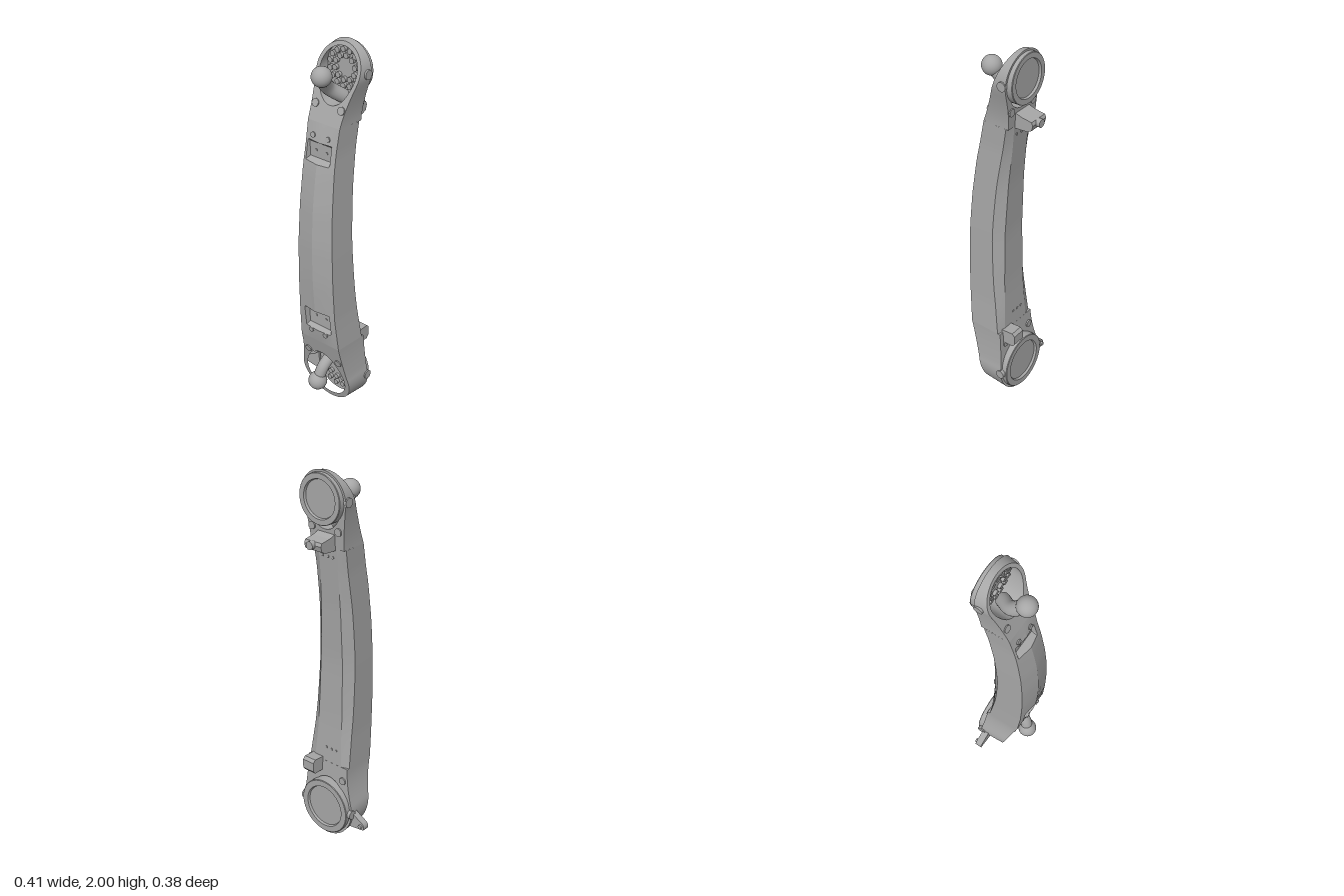
import * as THREE from 'three';
import { toCreasedNormals } from 'three/addons/utils/BufferGeometryUtils.js';

const CX = 0.035; // centre line of the arm

// Linear lookup in a short table of [y, value]
function lookup(table, y) {
  for (let i = 1; i < table.length; i++) {
    const [y0, v0] = table[i - 1], [y1, v1] = table[i];
    if (y <= y1) return v0 + (v1 - v0) * (y - y0) / (y1 - y0);
  }
  return table[table.length - 1][1];
}
const LEFT = [[0.42, -0.086], [0.6, -0.081], [1, -0.08], [1.5, -0.075], [1.62, -0.08]];
const RIGHT = [[0.42, 0.181], [0.6, 0.167], [1, 0.152], [1.5, 0.127], [1.62, 0.129]];
const FRONT = [[0.42, 0.14], [0.6, 0.154], [0.8, 0.16], [1, 0.158], [1.2, 0.146], [1.4, 0.122], [1.62, 0.08]];
const BACK = [[0.42, -0.05], [0.7, -0.035], [1, -0.03], [1.3, -0.042], [1.62, -0.07]];
const NOTCHES = [{ y0: 0.5, y1: 0.62, z: 0.128 }, { y0: 1.43, y1: 1.53, z: 0.092 }];

// Height of the faceted front face of the shaft
function frontZ(x, y) {
  const k = Math.sqrt(Math.max(0, Math.sin(Math.PI * (y - 0.42) / 1.2)));
  const half = (lookup(RIGHT, y) - lookup(LEFT, y)) / 2;
  const mid = (lookup(RIGHT, y) + lookup(LEFT, y)) / 2;
  return lookup(FRONT, y) + 0.026 * k * Math.max(0, 1 - Math.abs(x - mid) / half);
}

// Shaft lofted from closed rings, with two stepped notches in the front
function shaftGeometry() {
  const ys = [];
  for (let i = 0; i <= 24; i++) ys.push(0.42 + 0.05 * i);
  for (const n of NOTCHES) ys.push(n.y0 - 0.001, n.y0 + 0.012, n.y1 - 0.012, n.y1 + 0.001);
  ys.sort((a, b) => a - b);
  const pos = [], index = [];
  let cols = 0;
  for (const y of ys) {
    const xl = lookup(LEFT, y), xr = lookup(RIGHT, y), zb = lookup(BACK, y);
    const k = Math.max(0, Math.sin(Math.PI * (y - 0.42) / 1.2));
    const t = (y - 0.56) / 0.92;
    const nl = -0.035 - 0.02 * t, nr = 0.13 - 0.035 * t;
    const notch = NOTCHES.find((n) => y > n.y0 + 0.005 && y < n.y1 - 0.005);
    const xs = [CX + (xl - CX) * 0.94, nl, nl + 0.005, (xl + xr) / 2, nr - 0.005, nr, CX + (xr - CX) * 0.94];
    const ring = xs.map((x, i) => [x, notch && i > 1 && i < 5 ? notch.z : frontZ(x, y)]);
    ring.push([xr, zb + 0.015 + 0.03 * k], [xr - 0.045, zb], [xl + 0.045, zb], [xl, zb + 0.015 + 0.03 * k]);
    cols = ring.length;
    for (const [x, z] of ring) pos.push(x, y, z);
  }
  for (let i = 0; i < ys.length - 1; i++) {
    for (let j = 0; j < cols; j++) {
      const a = i * cols + j, b = i * cols + (j + 1) % cols;
      index.push(a, b, b + cols, a, b + cols, a + cols);
    }
  }
  const g = new THREE.BufferGeometry();
  g.setAttribute('position', new THREE.Float32BufferAttribute(pos, 3));
  g.setIndex(index);
  return toCreasedNormals(g, 0.2);
}

const ENDS = [
  { name: 'lower', dir: -1, cy: 0.17, r: 0.165, join: 0.42, hole: 0.134, tip: 0.165, disc: 0.152,
    front: (y) => 0.035 + 0.25 * y, back: (y) => -0.08 + 0.07 * y, discBack: -0.096, floor: -0.03,
    stalk: [[0.05, 0.3, 0.04], [0.045, 0.25, 0.11], [0.03, 0.165, 0.14]], stalkR: 0.031 },
  { name: 'upper', dir: 1, cy: 1.862, r: 0.138, join: 1.62, hole: 0.117, tip: 0.155, disc: 0.127,
    front: (y) => 0.05 - 0.375 * (y - 1.7), back: (y) => -0.07 - 0.065 * (y - 1.62), discBack: -0.116, floor: -0.072,
    stalk: [[0.045, 1.73, -0.04], [0.012, 1.785, 0.03], [0.03, 1.865, 0.1]], stalkR: 0.035 },
];

// Rounded end housing with an egg-shaped pocket, sloped at the front
function endGeometry(e) {
  const pts = [], hole = [];
  const xl = lookup(LEFT, e.join), xr = lookup(RIGHT, e.join);
  const at = (a, r) => new THREE.Vector2(CX + r * Math.cos(a), e.cy + e.dir * r * Math.sin(a));
  const a0 = -0.26, a1 = Math.PI + 0.26;
  const neck = (x, a, rev) => {
    const c = new THREE.QuadraticBezierCurve(new THREE.Vector2(x, e.join),
      new THREE.Vector2(x, e.cy - e.dir * 0.16), at(a, e.r)).getPoints(8);
    return rev ? c.reverse() : c;
  };
  pts.push(...neck(xr, a0, false));
  for (let i = 1; i < 40; i++) pts.push(at(a0 + (a1 - a0) * i / 40, e.r));
  pts.push(...neck(xl, a1, true));
  for (let i = 0; i < 48; i++) {
    const a = i / 48 * Math.PI * 2;
    hole.push(at(a, e.hole + (e.tip - e.hole) * Math.max(0, -Math.sin(a)) ** 4));
  }
  const shape = new THREE.Shape(pts);
  shape.holes.push(new THREE.Path(hole));
  const g = new THREE.ExtrudeGeometry(shape, { depth: 1, bevelEnabled: false });
  const p = g.attributes.position;
  for (let i = 0; i < p.count; i++) {
    let x = p.getX(i), y = p.getY(i);
    const isFront = p.getZ(i) > 0.5;
    if (isFront) {
      x = CX + (x - CX) * 0.94;
      if (e.dir * (y - e.cy) > 0) y = e.cy + (y - e.cy) * 0.95;
    }
    p.setXYZ(i, x, y, isFront ? e.front(y) : e.back(y));
  }
  return toCreasedNormals(g, 0.5);
}

export function createModel() {
  const group = new THREE.Group();
  const grey = new THREE.MeshStandardMaterial({ color: 0xa6a6a6 });
  grey.name = 'grey';
  const add = (name, geo, x = 0, y = 0, z = 0) => {
    const m = new THREE.Mesh(geo, grey);
    m.name = name;
    m.position.set(x, y, z);
    group.add(m);
    return m;
  };
  // Short round stud facing along z
  const stud = (name, x, y, z, r, h = 0.012, tilt = 0) => {
    const m = add(name, new THREE.CylinderGeometry(r, r, h, 18), x, y, z);
    m.rotation.x = Math.PI / 2 + tilt;
    return m;
  };
  // Side profile in (z, y), extruded along x
  const bracket = (name, pts, x0, x1) => {
    const g = new THREE.ExtrudeGeometry(new THREE.Shape(pts.map(([z, y]) => new THREE.Vector2(-z, y))),
      { depth: x1 - x0, bevelEnabled: false });
    g.rotateY(Math.PI / 2);
    return add(name, g, x0, 0, 0);
  };

  add('shaft', shaftGeometry());

  for (const e of ENDS) {
    add(e.name + 'Housing', endGeometry(e));

    // Rear cover: pocket floor in front, recessed disc behind
    const R = e.disc, b = e.discBack;
    const cover = [[0, b + 0.012], [R * 0.74, b + 0.012], [R * 0.77, b], [R * 0.98, b], [R, b + 0.003], [R, e.floor], [0, e.floor]];
    const lathe = new THREE.LatheGeometry(cover.map(([r, z]) => new THREE.Vector2(r, z)), 48);
    lathe.rotateX(Math.PI / 2);
    add(e.name + 'Cover', toCreasedNormals(lathe, 0.4), CX, e.cy, 0);

    // Rings of studs on the pocket floor
    for (const [count, f, off] of [[15, 0.72, 0], [10, 0.48, 0.2]]) {
      for (let i = 0; i < count; i++) {
        const a = off + i / count * Math.PI * 2;
        stud(e.name + 'PocketStud', CX + Math.cos(a) * R * f, e.cy + Math.sin(a) * R * f, e.floor + 0.006, 0.014, 0.02);
      }
    }

    // Curved stalk with its ball
    const path = new THREE.CatmullRomCurve3(e.stalk.map((p) => new THREE.Vector3(...p)));
    add(e.name + 'Stalk', new THREE.TubeGeometry(path, 16, e.stalkR, 20));
    add(e.name + 'Ball', new THREE.SphereGeometry(0.05, 32, 20), ...e.stalk[2]);

    // Round buttons on both flanks
    for (const s of [-1, 1]) {
      const m = add(e.name + 'SideButton', new THREE.CylinderGeometry(0.024, 0.024, 0.02, 20), CX + s * (e.r - 0.006), e.cy, -0.064);
      m.rotation.z = Math.PI / 2;
    }
  }

  // Front bolts beside the pockets and notches
  for (const [x, y, r] of [[-0.05, 1.7, 0.02], [0.108, 1.7, 0.02], [-0.052, 0.322, 0.02], [0.148, 0.314, 0.02]]) {
    const e = ENDS[y > 1 ? 1 : 0];
    stud('frontBolt', x, y, e.front(y), r, 0.012, y > 1 ? -0.36 : 0.24);
  }
  for (const [x, y] of [[-0.025, 1.558], [0.066, 1.558], [0.003, 0.486], [0.095, 0.486]]) {
    stud('smallBolt', x, y, frontZ(x, y), 0.014, 0.012, y > 1 ? -0.2 : 0.1);
  }
  for (const [x, y, z] of [[-0.01, 1.48, 0.092], [0.055, 1.48, 0.092], [0.015, 0.565, 0.128], [0.08, 0.565, 0.128]]) {
    stud('notchScrew', x, y, z, 0.007, 0.008);
  }

  // Rear clips and screws
  bracket('upperClip', [[-0.05, 1.61], [-0.05, 1.7], [-0.11, 1.68], [-0.165, 1.672], [-0.172, 1.655], [-0.165, 1.628], [-0.14, 1.615]], -0.025, 0.08);
  stud('upperClipPin', 0.033, 1.655, -0.175, 0.021, 0.03);
  bracket('lowerClip', [[-0.03, 0.36], [-0.03, 0.435], [-0.11, 0.44], [-0.125, 0.425], [-0.125, 0.375], [-0.11, 0.358]], 0.083, 0.155);
  for (const y of [0.5, 1.57]) {
    for (const x of [-0.005, 0.025, 0.06]) stud('rearScrew', x, y, lookup(BACK, y), 0.007, 0.008);
  }
  for (const [x, y] of [[-0.05, 1.71], [0.115, 1.71], [-0.06, 0.345], [0.14, 0.345]]) {
    stud('rearBolt', x, y, ENDS[y > 1 ? 1 : 0].back(y), 0.02, 0.014);
  }

  // Side tab with its pin
  const tab = new THREE.Shape();
  tab.moveTo(-0.1, 0.2);
  tab.lineTo(-0.135, 0.17);
  tab.lineTo(-0.195, 0.137);
  tab.quadraticCurveTo(-0.21, 0.12, -0.2, 0.1);
  tab.lineTo(-0.13, 0.092);
  tab.lineTo(-0.1, 0.09);
  add('sideTab', new THREE.ExtrudeGeometry(tab, { depth: 0.036, bevelEnabled: false }), 0, 0, -0.056);
  stud('sideTabPin', -0.183, 0.118, -0.043, 0.011, 0.046);

  return group;
}
